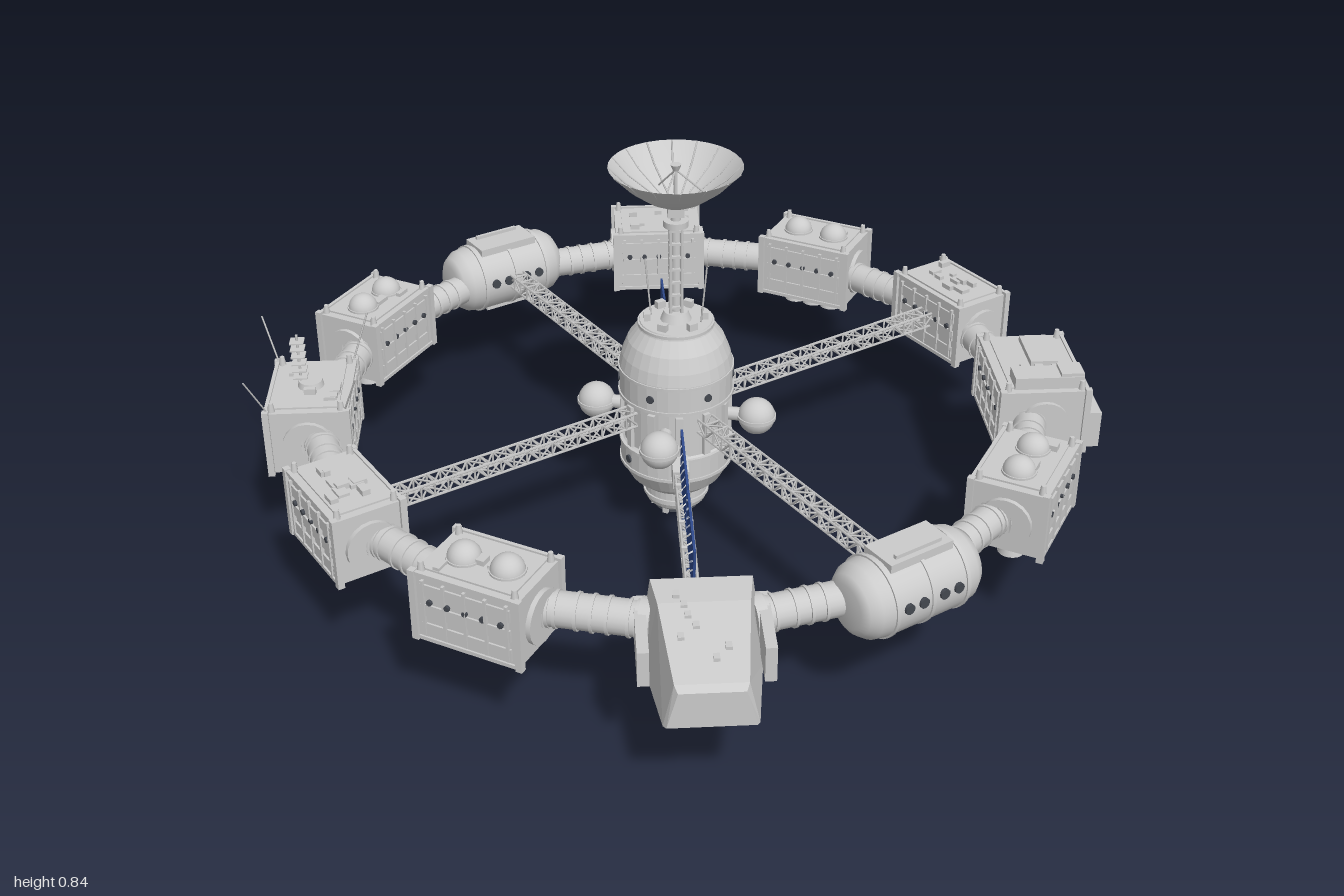
import * as THREE from 'three';
import { mergeGeometries } from 'three/addons/utils/BufferGeometryUtils.js';

const grey = new THREE.MeshStandardMaterial({ color: 0xcccccc });
const flat = new THREE.MeshStandardMaterial({ color: 0xcccccc, flatShading: true });
const thin = new THREE.MeshStandardMaterial({ color: 0xcccccc, side: THREE.DoubleSide });
const blue = new THREE.MeshStandardMaterial({ color: 0x2f4a8c });
const dark = new THREE.MeshStandardMaterial({ color: 0x444850 });
const RING = 0.79, MID = 0.275;
const V = (x, y, z) => new THREE.Vector3(x, y, z);

function add(parent, name, geo, mat = grey, x = 0, y = 0, z = 0) {
  const m = new THREE.Mesh(geo, mat);
  m.name = name;
  m.position.set(x, y, z);
  parent.add(m);
  return m;
}
const box = (w, h, d, x = 0, y = 0, z = 0) => new THREE.BoxGeometry(w, h, d).translate(x, y, z);
const cyl = (rt, rb, h, n = 16, x = 0, y = 0, z = 0) => new THREE.CylinderGeometry(rt, rb, h, n).translate(x, y, z);
const lathe = (pts, n = 32) => new THREE.LatheGeometry(pts.map(p => new THREE.Vector2(...p)), n);

// Thin rod between two points
function rod(a, b, r = 0.0025, n = 4) {
  const d = b.clone().sub(a);
  const q = new THREE.Quaternion().setFromUnitVectors(V(0, 1, 0), d.clone().normalize());
  return new THREE.CylinderGeometry(r, r, d.length(), n).applyQuaternion(q).translate(...a.clone().add(b).multiplyScalar(0.5));
}

// Square lattice girder along +z from z0 to z1
function truss(z0, z1, w, h, bays) {
  const g = [], c = [[-w, -h], [w, -h], [w, h], [-w, h]], step = (z1 - z0) / bays;
  c.forEach(([x, y], k) => {
    const [nx, ny] = c[(k + 1) % 4];
    g.push(rod(V(x, y, z0), V(x, y, z1), 0.0035));
    for (let i = 0; i <= bays; i++) {
      const z = z0 + i * step;
      g.push(rod(V(x, y, z), V(nx, ny, z)));
      if (i < bays) g.push(i % 2 ? rod(V(nx, ny, z), V(x, y, z + step)) : rod(V(x, y, z), V(nx, ny, z + step)));
    }
  });
  return mergeGeometries(g);
}

function seeded(s) { return () => (s = (s * 16807) % 2147483647) / 2147483647; }

// Group on the ring: local +z points outward, local x runs along the ring
function station(parent, name, deg, r = RING) {
  const a = THREE.MathUtils.degToRad(deg), g = new THREE.Group();
  g.name = name;
  g.position.set(r * Math.sin(a), MID, -r * Math.cos(a));
  g.rotation.y = Math.PI - a;
  parent.add(g);
  return g;
}

// Box module with corner posts, side slats, ribs and roof equipment
function boxModule(g, w, d, seed, roofBits) {
  const h = 0.145, rnd = seeded(seed), trim = [], fittings = [];
  add(g, 'moduleBody', box(w, h, d));
  for (const sx of [-1, 1]) for (const sz of [-1, 1]) {
    trim.push(box(0.014, h + 0.012, 0.014, sx * w / 2, 0, sz * d / 2));
    trim.push(cyl(0.005, 0.008, 0.02, 8, sx * (w / 2 - 0.012), h / 2 + 0.01, sz * (d / 2 - 0.012)));
  }
  for (const s of [-1, 1]) {
    for (const y of [-0.048, -0.005, 0.04]) trim.push(box(w * 0.86, 0.026, 0.008, 0, y, s * d / 2));
    for (let i = -2; i <= 2; i++) trim.push(box(0.006, h * 0.86, 0.014, i * w * 0.2, 0, s * d / 2));
    for (const y of [-1, 1]) trim.push(box(w, 0.008, 0.008, 0, y * h / 2, s * d / 2));
    trim.push(cyl(0.055, 0.055, 0.02, 20).rotateZ(Math.PI / 2).translate(s * w / 2, -0.005, 0));
    for (let i = -2; i <= 2; i++)
      fittings.push(cyl(0.006, 0.006, 0.006, 8).rotateX(Math.PI / 2).translate(i * w * 0.17, 0.015, s * (d / 2 + 0.004)));
  }
  trim.push(box(w * 0.84, 0.008, d * 0.8, 0, h / 2, 0), box(w * 0.84, 0.008, d * 0.8, 0, -h / 2, 0));
  for (let i = 0; i < roofBits; i++)
    trim.push(box(0.012 + rnd() * 0.025, 0.02 + rnd() * 0.015, 0.01 + rnd() * 0.02, (rnd() - 0.5) * w * 0.7, h / 2, (rnd() - 0.5) * d * 0.65));
  add(g, 'moduleTrim', mergeGeometries(trim));
  add(g, 'portholes', mergeGeometries(fittings), dark);
}

// Box module with two storage spheres above and three thrusters below
function tankModule(g, seed) {
  boxModule(g, 0.225, 0.155, seed, 3);
  for (const s of [-1, 1]) {
    add(g, 'storageSphere', new THREE.SphereGeometry(0.034, 20, 14), grey, s * 0.047, 0.077, 0);
    add(g, 'sphereCollar', cyl(0.036, 0.036, 0.012, 20), grey, s * 0.047, 0.075, 0);
  }
  for (let i = -1; i <= 1; i++) {
    add(g, 'thruster', lathe([[0, -0.072], [0.016, -0.072], [0.018, -0.085], [0.028, -0.115], [0.023, -0.115], [0, -0.09]].reverse(), 18), thin, i * 0.048);
  }
}

// Rounded pressure module lying along the ring
function capsuleModule(g) {
  const prof = [[0, -0.145], [0.045, -0.145], [0.062, -0.135], [0.076, -0.115], [0.081, -0.085], [0.081, 0.085], [0.076, 0.115], [0.062, 0.135], [0.045, 0.145], [0, 0.145]];
  add(g, 'capsuleHull', lathe(prof).rotateZ(Math.PI / 2));
  const trim = [-0.085, 0, 0.085].map(x => cyl(0.084, 0.084, 0.008, 32).rotateZ(Math.PI / 2).translate(x, 0, 0));
  trim.push(box(0.15, 0.02, 0.08, 0, 0.078, 0), box(0.12, 0.02, 0.05, 0, -0.078, 0), box(0.11, 0.008, 0.008, 0, 0.092, 0.025));
  add(g, 'capsuleTrim', mergeGeometries(trim));
  const ports = [];
  for (const s of [-1, 1]) for (const x of [-0.06, -0.025, 0.025, 0.06])
    ports.push(cyl(0.011, 0.011, 0.01, 12).rotateX(Math.PI / 2).translate(x, 0.01, s * 0.08));
  add(g, 'portholes', mergeGeometries(ports), dark);
}

// Tapering command pod lofted from trapezoid sections: [z, bottom, top, half widths]
function commandPod(g) {
  const sec = [[-0.06, -0.075, 0.06, 0.105, 0.09], [-0.04, -0.075, 0.075, 0.115, 0.095], [0.03, -0.075, 0.072, 0.11, 0.085], [0.215, -0.055, 0.035, 0.086, 0.066], [0.228, -0.05, 0.025, 0.08, 0.06]];
  const pos = [], idx = [], n = sec.length;
  for (const [z, b, t, wb, wt] of sec) pos.push(-wb, b, z, wb, b, z, wt, t, z, -wt, t, z);
  for (let i = 0; i < n - 1; i++) for (let k = 0; k < 4; k++) {
    const a = i * 4 + k, b = i * 4 + (k + 1) % 4;
    idx.push(a, b, b + 4, a, b + 4, a + 4);
  }
  const e = (n - 1) * 4;
  idx.push(0, 2, 1, 0, 3, 2, e, e + 1, e + 2, e, e + 2, e + 3);
  const geo = new THREE.BufferGeometry();
  geo.setAttribute('position', new THREE.Float32BufferAttribute(pos, 3));
  geo.setIndex(idx);
  geo.computeVertexNormals();
  add(g, 'podHull', geo, flat);
  const trim = [box(0.085, 0.05, 0.025, 0, 0, -0.085), box(0.05, 0.04, 0.05, 0, 0, -0.07)], rnd = seeded(77);
  for (const s of [-1, 1]) trim.push(box(0.022, 0.075, 0.17, s * 0.115, -0.01, 0.03));
  for (let i = 0; i < 7; i++) {
    const z = 0.01 + i * 0.025;
    trim.push(box(0.012, 0.012, 0.016, (rnd() - 0.5) * 0.1, 0.076 - z * 0.19, z));
  }
  add(g, 'podTrim', mergeGeometries(trim));
}

// Central hub, mast and dish
function hub(parent) {
  const g = new THREE.Group();
  g.name = 'hub';
  parent.add(g);
  const prof = [[0, 0.03], [0.055, 0.03], [0.066, 0.04], [0.07, 0.05], [0.07, 0.085], [0.08, 0.088], [0.103, 0.108], [0.123, 0.145], [0.123, 0.2], [0.115, 0.207], [0.115, 0.31], [0.124, 0.317], [0.124, 0.385], [0.118, 0.412], [0.105, 0.445], [0.083, 0.475], [0.078, 0.488], [0, 0.488]];
  add(g, 'hubHull', lathe(prof, 32), flat);
  const bits = [], ports = [];
  for (const [r, y] of [[0.126, 0.2], [0.126, 0.15], [0.127, 0.32], [0.127, 0.38], [0.083, 0.482], [0.074, 0.06]]) bits.push(cyl(r, r, 0.007, 32, 0, y));
  for (let i = 0; i < 12; i++) {
    const a = i * Math.PI / 6;
    bits.push(box(0.016, 0.1, 0.012, 0, 0.258, 0.117).rotateY(a));
    if (i % 2) bits.push(box(0.02, 0.018, 0.014, 0, 0.495, 0.062).rotateY(a), box(0.012, 0.02, 0.012, 0, 0.028, 0.05).rotateY(a));
    ports.push(cyl(0.009, 0.009, 0.008, 10).rotateX(Math.PI / 2).translate(0, i % 2 ? 0.35 : 0.175, 0.123).rotateY(a));
  }
  add(g, 'hubTrim', mergeGeometries(bits));
  add(g, 'portholes', mergeGeometries(ports), dark);
  add(g, 'hubEngine', cyl(0.045, 0.05, 0.012, 20), dark, 0, 0.026);
  // Four banded tanks around the hub
  for (const deg of [15, 105, 195, 285]) {
    const t = station(g, 'hubTank', deg, 0.18);
    t.position.y = 0.265;
    add(t, 'tankSphere', new THREE.SphereGeometry(0.041, 20, 14));
    add(t, 'tankBand', cyl(0.043, 0.043, 0.008, 24));
    add(t, 'tankNeck', cyl(0.015, 0.015, 0.05, 10).rotateX(Math.PI / 2), grey, 0, 0, -0.055);
  }
  // Mast
  const mast = [cyl(0.01, 0.01, 0.26, 12, 0, 0.61), cyl(0.026, 0.034, 0.02, 16, 0, 0.498), cyl(0.027, 0.027, 0.014, 16, 0, 0.715), cyl(0.011, 0.011, 0.05, 12, 0, 0.735), box(0.035, 0.02, 0.03, 0, 0.742)];
  for (const sx of [-1, 1]) for (const sz of [-1, 1]) mast.push(rod(V(sx * 0.012, 0.49, sz * 0.012), V(sx * 0.012, 0.715, sz * 0.012), 0.004, 6));
  for (let i = 0; i < 7; i++) mast.push(box(0.03, 0.005, 0.03, 0, 0.52 + i * 0.03));
  for (const s of [-1, 1]) mast.push(rod(V(s * 0.052, 0.48, s * 0.02), V(s * 0.064, 0.62, s * 0.025), 0.002));
  add(g, 'mast', mergeGeometries(mast));
  // Dish with ribs and feed
  add(g, 'dish', lathe([[0, 0.757], [0.03, 0.757], [0.065, 0.775], [0.105, 0.805], [0.141, 0.843]], 32), thin);
  const ribs = [rod(V(0, 0.757, 0), V(0, 0.835, 0), 0.004, 8), cyl(0.012, 0.006, 0.014, 10, 0, 0.84)];
  for (let i = 0; i < 16; i++) ribs.push(mergeGeometries([rod(V(0.03, 0.76, 0), V(0.105, 0.808, 0), 0.002), rod(V(0.105, 0.808, 0), V(0.14, 0.843, 0), 0.002)]).rotateY(i * Math.PI / 8));
  for (let i = 0; i < 3; i++) ribs.push(rod(V(0.065, 0.777, 0), V(0, 0.835, 0), 0.002).rotateY(i * Math.PI * 2 / 3));
  add(g, 'dishRibs', mergeGeometries(ribs));
}

// Drooping girder carrying four solar panels
function solarWing(parent, turn) {
  const pivot = new THREE.Group(), g = new THREE.Group();
  pivot.name = 'solarWing';
  pivot.rotation.y = turn;
  g.position.y = 0.203;
  g.rotation.x = 0.1;
  pivot.add(g);
  parent.add(pivot);
  add(g, 'solarGirder', truss(0.1, 0.67, 0.012, 0.014, 22));
  add(g, 'girderRoot', box(0.035, 0.045, 0.06, 0, 0, 0.145));
  const cells = [], arms = [];
  for (const z of [0.275, 0.477]) for (const s of [-1, 1]) {
    add(g, 'solarPanel', box(0.005, 0.122, 0.188, 0, s * 0.082, z), blue);
    for (let i = -3; i <= 3; i++) for (let j = -2; j <= 2; j++)
      cells.push(box(0.002, 0.004, 0.004).rotateX(Math.PI / 4).translate(-0.003, s * 0.082 + j * 0.024, z + i * 0.026));
    for (const d of [-0.06, 0.06]) arms.push(box(0.03, 0.012, 0.008, 0, s * 0.017, z + d));
  }
  add(g, 'cellContacts', mergeGeometries(cells));
  add(g, 'panelMounts', mergeGeometries(arms));
}

export function createModel() {
  const root = new THREE.Group(), c = new THREE.Group();
  root.name = 'spaceStation';
  c.name = 'station';
  c.position.set(-0.01, 0, -0.025);
  root.add(c);
  hub(c);
  for (const turn of [0, Math.PI]) solarWing(c, turn);

  // Connecting tunnels with collars
  for (let i = 0; i < 12; i++) {
    const g = station(c, 'tunnel', 15 + i * 30, 0.766);
    const parts = [cyl(0.035, 0.035, 0.22, 20)];
    for (const y of [-0.085, -0.07, -0.03, 0, 0.03, 0.07, 0.085]) parts.push(cyl(0.038, 0.038, 0.006, 20, 0, y));
    for (const s of [-1, 1]) parts.push(cyl(0.044, 0.044, 0.022, 20, 0, s * 0.1));
    add(g, 'tunnelTube', mergeGeometries(parts).rotateZ(Math.PI / 2), grey, 0, -0.005);
  }
  for (const a of [30, 120, 210, 300]) tankModule(station(c, 'tankModule', a), a + 5);
  for (const a of [150, 330]) capsuleModule(station(c, 'capsuleModule', a));
  for (const a of [60, 240]) boxModule(station(c, 'dockModule', a), 0.225, 0.145, a + 9, 9);
  for (const a of [60, 150, 240, 330]) add(station(c, 'spoke', a, 0), 'spokeGirder', truss(0.11, 0.725, 0.018, 0.016, 20), grey, 0, 0.005);
  commandPod(station(c, 'commandPod', 180));

  // Rear module with main engine bell
  const rear = station(c, 'engineModule', 0);
  boxModule(rear, 0.215, 0.17, 31, 7);
  add(rear, 'engineBell', lathe([[0.03, 0.07], [0.032, 0.13], [0.043, 0.185], [0.038, 0.185], [0.026, 0.13], [0, 0.12]]).rotateX(Math.PI / 2), new THREE.MeshStandardMaterial({ color: 0x777777, side: THREE.DoubleSide }), -0.035, -0.02);

  // Large cargo module with side locker and roof units
  const cargo = station(c, 'cargoModule', 90);
  boxModule(cargo, 0.255, 0.185, 53, 5);
  add(cargo, 'cargoUnits', mergeGeometries([box(0.1, 0.085, 0.06, -0.07, -0.03, 0.1), box(0.055, 0.03, 0.15, -0.085, 0.085, 0.01), box(0.12, 0.018, 0.06, 0.04, 0.08, 0.02), box(0.05, 0.035, 0.05, -0.085, 0.09, 0.06)]));

  // Communications module with whips and a comb mast
  const comms = station(c, 'commsModule', 270);
  boxModule(comms, 0.225, 0.17, 91, 5);
  const aerials = [rod(V(0, 0.07, 0.02), V(0, 0.2, 0.02), 0.003, 6), cyl(0.025, 0.03, 0.02, 16, 0, 0.08, 0)];
  for (let i = 0; i < 6; i++) aerials.push(box(0.03, 0.003, 0.03, 0, 0.1 + i * 0.017, 0.02));
  for (const sx of [-1, 1]) for (const sz of [-1, 1]) aerials.push(rod(V(sx * 0.105, 0.07, sz * 0.08), V(sx * 0.148, 0.17, sz * 0.115), 0.002));
  add(comms, 'aerials', mergeGeometries(aerials));
  return root;
}
